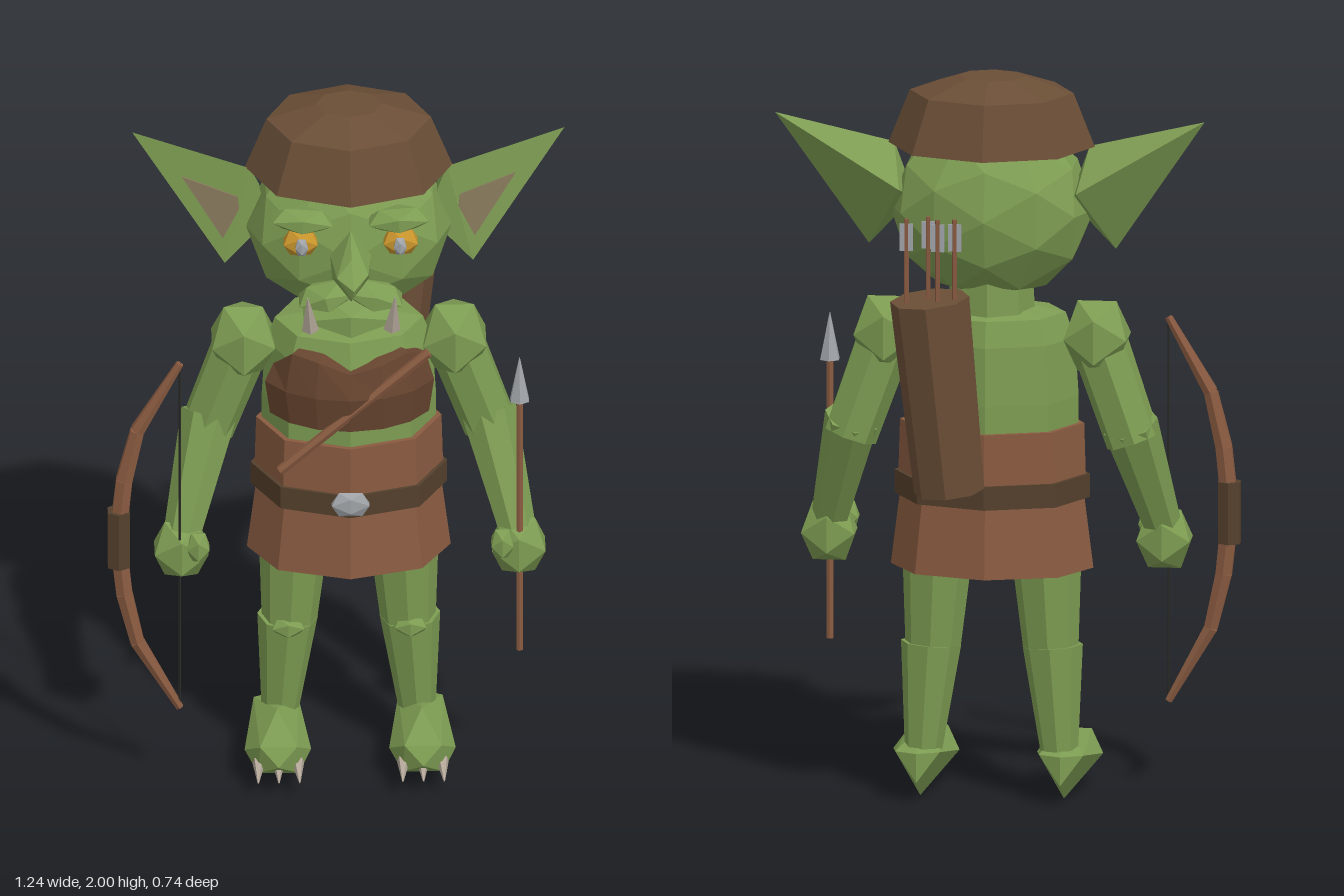
import * as THREE from 'three';
import { ConvexGeometry } from 'three/addons/geometries/ConvexGeometry.js';

const V = (x, y, z) => new THREE.Vector3(x, y, z);

export function createModel() {
  const model = new THREE.Group();
  model.name = 'goblinArcher';
  const body = new THREE.Group();
  body.name = 'figure';
  body.position.x = 0.035;
  model.add(body);

  const material = (name, color) => {
    const m = new THREE.MeshStandardMaterial({ color });
    m.name = name;
    return m;
  };
  const skin = material('green skin', 0x7d9c52);
  const earSkin = material('inner ear', 0x86795b);
  const leather = material('cap leather', 0x6a4e36);
  const chestHide = material('chest hide', 0x66442f);
  const tunic = material('red brown', 0x8a5b41);
  const beltDark = material('dark leather', 0x54402c);
  const amber = material('amber', 0xc8952c);
  const bone = material('bone', 0xb0a496);
  const metal = material('metal', 0xa0a4a8);
  const cord = material('cord', 0x2a2a26);

  // Faceted mesh
  const add = (name, geometry, mat) => {
    const flat = geometry.index ? geometry.toNonIndexed() : geometry;
    flat.computeVertexNormals();
    const mesh = new THREE.Mesh(flat, mat);
    mesh.name = name;
    body.add(mesh);
    return mesh;
  };
  // Faceted ellipsoid
  const lump = (name, mat, pos, r, detail = 0) => {
    const mesh = add(name, new THREE.IcosahedronGeometry(1, detail).scale(...r), mat);
    mesh.position.set(...pos);
    return mesh;
  };
  // Tapered bar between two points
  const limb = (name, mat, a, b, ra, rb, sides = 8) => {
    const p = V(...a), q = V(...b), d = q.clone().sub(p);
    const mesh = add(name, new THREE.CylinderGeometry(rb, ra, d.length(), sides), mat);
    mesh.position.copy(p).add(q).multiplyScalar(0.5);
    mesh.quaternion.setFromUnitVectors(V(0, 1, 0), d.normalize());
    return mesh;
  };
  // Oval eight-sided solid from a profile of [radius, y]
  const turned = (name, mat, profile, depth, z = 0) => {
    const pts = profile.map(p => new THREE.Vector2(...p));
    const mesh = add(name, new THREE.LatheGeometry(pts, 8).scale(1, 1, depth), mat);
    mesh.position.z = z;
    return mesh;
  };
  const hull = (name, mat, pts) => add(name, new ConvexGeometry(pts.map(p => V(...p))), mat);

  // Torso and clothes
  turned('torso', skin, [[0, 0.95], [0.235, 0.95], [0.235, 1.12], [0.225, 1.28], [0.2, 1.35], [0, 1.39]], 0.76);
  turned('tunicWaist', tunic, [[0, 0.88], [0.255, 0.88], [0.25, 1.045], [0, 1.045]], 0.77);
  turned('belt', beltDark, [[0, 0.84], [0.265, 0.84], [0.265, 0.905], [0, 0.905]], 0.77);
  turned('skirt', tunic, [[0, 0.645], [0.275, 0.645], [0.25, 0.845], [0, 0.845]], 0.7);
  lump('buckle', metal, [0, 0.88, 0.2], [0.06, 0.042, 0.018]);

  // Chest wrap with a ragged top edge
  const wrapPts = [[0.17, 1.08], [0.235, 1.1], [0.25, 1.2], [0.225, 1.31], [0.16, 1.33]];
  const wrap = new THREE.LatheGeometry(wrapPts.map(p => new THREE.Vector2(...p)), 6, -1.15, 2.3).scale(1, 1, 0.82);
  const wp = wrap.attributes.position;
  for (let i = 0; i < wp.count; i++) {
    if (wp.getY(i) > 1.25) wp.setY(i, wp.getY(i) - [0.06, 0, 0.01, 0.04, 0.02, 0, 0.03][Math.floor(i / 5)]);
  }
  add('chestWrap', wrap, chestHide);
  limb('quiverStrap', tunic, [-0.19, 0.985, 0.195], [0.21, 1.335, 0.18], 0.014, 0.014, 6);

  // Head
  limb('neck', skin, [0, 1.32, -0.01], [0, 1.48, -0.01], 0.12, 0.11);
  lump('head', skin, [0, 1.635, 0], [0.278, 0.25, 0.212], 1);
  lump('jaw', skin, [0, 1.46, 0.165], [0.15, 0.06, 0.115]);
  hull('nose', skin, [[0, 1.725, 0.2], [-0.055, 1.65, 0.2], [0.055, 1.65, 0.2], [-0.05, 1.58, 0.2], [0.05, 1.58, 0.2],
    [-0.04, 1.65, 0.33], [0.045, 1.66, 0.33], [0.005, 1.63, 0.37], [0, 1.54, 0.26], [0, 1.6, 0.36], [0, 1.69, 0.3]]);
  turned('cap', leather, [[0, 1.81], [0.28, 1.81], [0.222, 1.957], [0.09, 2], [0, 2]], 0.84, -0.01);

  for (const s of [-1, 1]) {
    const side = s > 0 ? 'left' : 'right';

    // Face
    const lip = lump(side + 'UpperLip', skin, [s * 0.065, 1.53, 0.2], [0.09, 0.04, 0.075]);
    lip.rotation.z = -s * 0.25;
    lump(side + 'Eye', amber, [s * 0.135, 1.69, 0.195], [0.054, 0.046, 0.04]);
    lump(side + 'Pupil', metal, [s * 0.133, 1.69, 0.227], [0.02, 0.03, 0.018]);
    const brow = lump(side + 'Brow', skin, [s * 0.13, 1.755, 0.19], [0.095, 0.036, 0.055]);
    brow.rotation.z = s * 0.08;
    limb(side + 'Tusk', bone, [s * 0.11, 1.455, 0.255], [s * 0.118, 1.565, 0.285], 0.024, 0.002, 5);

    // Ear with a thin inner plate
    hull(side + 'Ear', skin, [[0.583, 1.895, -0.055], [0.265, 1.81, 0], [0.335, 1.525, 0.01],
      [0.21, 1.66, 0], [0.24, 1.7, -0.115]].map(([x, y, z]) => [s * x, y, z]));
    const inner = [[0.45, 1.775, -0.025], [0.3, 1.725, 0.001], [0.296, 1.69, 0.004], [0.34, 1.6, 0.004]];
    hull(side + 'InnerEar', earSkin, inner.flatMap(([x, y, z]) => [[s * x, y, z - 0.003], [s * x, y, z + 0.005]]));

    // Arm
    lump(side + 'Shoulder', skin, [s * 0.285, 1.285, 0], [0.1, 0.115, 0.115]);
    limb(side + 'UpperArm', skin, [s * 0.28, 1.3, 0], [s * 0.385, 1.0, -0.015], 0.08, 0.075, 7);
    limb(side + 'Forearm', skin, [s * 0.375, 1.05, -0.015], [s * 0.45, 0.75, 0.105], 0.078, 0.052, 7);
    lump(side + 'Hand', skin, [s * 0.455, 0.705, 0.115], [0.085, 0.095, 0.08]);
    lump(side + 'Thumb', skin, [s * 0.41, 0.735, 0.165], [0.035, 0.05, 0.04]);

    // Leg
    limb(side + 'Thigh', skin, [s * 0.16, 0.42, -0.005], [s * 0.145, 0.74, -0.005], 0.075, 0.1);
    limb(side + 'Shin', skin, [s * 0.185, 0.13, -0.018], [s * 0.165, 0.43, -0.005], 0.05, 0.082);
    lump(side + 'Knee', skin, [s * 0.165, 0.425, 0.05], [0.05, 0.035, 0.04]);

    // Foot and claws
    const f = s * 0.195;
    hull(side + 'Foot', skin, [[f, 0.185, 0.08], [f, 0.005, 0.0], [f - 0.05, 0.15, 0.23], [f + 0.05, 0.15, 0.23],
      [f, 0.1, 0.255], [f - 0.09, 0.1, 0.15], [f + 0.09, 0.1, 0.15], [f - 0.055, 0.06, 0.21], [f + 0.055, 0.06, 0.21],
      [f - 0.06, 0.14, -0.07], [f + 0.06, 0.14, -0.07], [f, 0.14, -0.1], [f, 0.06, -0.1], [f, 0.03, 0.15]]);
    for (const k of [-1, 0, 1]) {
      limb(side + 'Claw', bone, [f + k * 0.053, 0.09, 0.2], [f + k * 0.056, 0.065, 0.275], 0.018, 0.002, 5);
    }
  }

  // Bow
  const bow = [[-0.46, 1.305], [-0.575, 1.1], [-0.61, 0.95], [-0.628, 0.775], [-0.61, 0.6], [-0.575, 0.45], [-0.46, 0.245]];
  const bowR = [0.011, 0.021, 0.025, 0.026, 0.025, 0.021, 0.011];
  for (let i = 0; i < 6; i++) {
    limb('bowLimb', tunic, [...bow[i], 0.17], [...bow[i + 1], 0.17], bowR[i], bowR[i + 1], 6);
  }
  limb('bowGrip', beltDark, [-0.625, 0.685, 0.17], [-0.625, 0.855, 0.17], 0.034, 0.034, 6);
  limb('bowString', cord, [-0.46, 0.245, 0.17], [-0.46, 1.305, 0.17], 0.003, 0.003, 4);

  // Arrow in hand
  limb('arrowShaft', tunic, [0.457, 0.4, 0.15], [0.457, 1.18, 0.15], 0.01, 0.01, 6);
  limb('arrowHead', metal, [0.457, 1.17, 0.15], [0.457, 1.3, 0.15], 0.029, 0.001, 6);

  // Quiver and spare arrows
  limb('quiver', leather, [0.09, 0.9, -0.235], [0.14, 1.435, -0.265], 0.096, 0.108);
  for (const [x, z] of [[0.07, -0.285], [0.115, -0.295], [0.145, -0.255], [0.2, -0.29]]) {
    limb('spareArrow', tunic, [x, 1.4, z], [x, 1.66, z], 0.007, 0.007, 5);
    add('fletching', new THREE.BoxGeometry(0.036, 0.075, 0.006), metal).position.set(x, 1.61, z);
  }

  return model;
}
